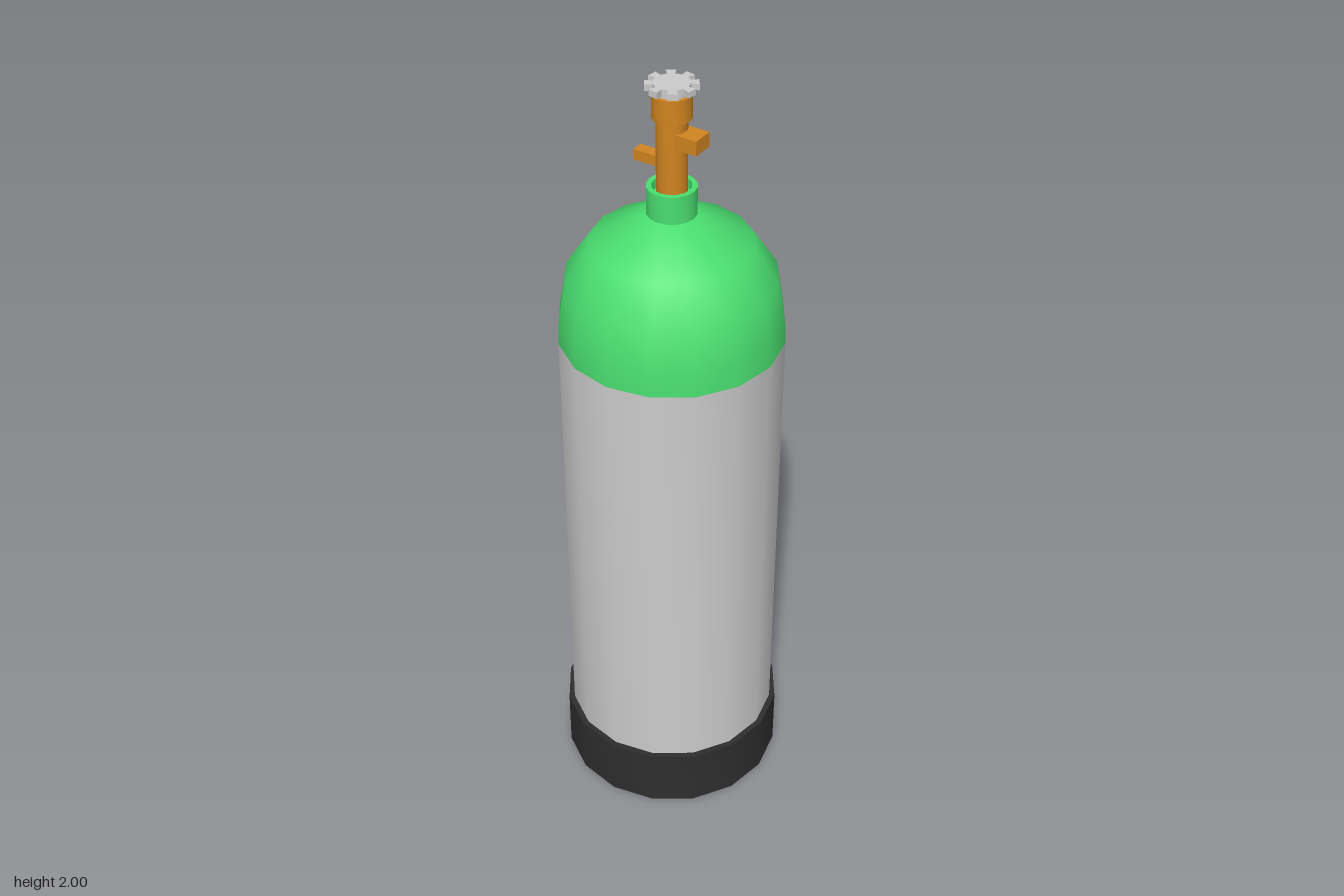
import * as THREE from 'three';
import { toCreasedNormals } from 'three/addons/utils/BufferGeometryUtils.js';

const steel = new THREE.MeshStandardMaterial({ color: 0xcccccc });
const green = new THREE.MeshStandardMaterial({ color: 0x4ade70 });
const rubber = new THREE.MeshStandardMaterial({ color: 0x2e2e2e });
const brass = new THREE.MeshStandardMaterial({ color: 0xd08420 });

export function createModel() {
  const group = new THREE.Group();
  const add = (name, geometry, material) => {
    const mesh = new THREE.Mesh(geometry, material);
    mesh.name = name;
    group.add(mesh);
    return mesh;
  };
  // Turned part from [radius, height] pairs, listed bottom to top on the outside
  const turned = (name, profile, material, sides = 16) => {
    const points = profile.map(([r, y]) => new THREE.Vector2(r, y));
    return add(name, toCreasedNormals(new THREE.LatheGeometry(points, sides), 0.75), material);
  };
  const box = (name, [w, h, d], [x, y, z], material) =>
    add(name, new THREE.BoxGeometry(w, h, d), material).position.set(x, y, z);

  // Tank: straight wall with a flat base, and a coloured shoulder
  turned('tankBody', [[0, 0.03], [0.275, 0.03], [0.275, 1.345]], steel);
  turned('tankShoulder', [
    [0.275, 1.345], [0.273, 1.4], [0.255, 1.51], [0.195, 1.6], [0.055, 1.678], [0, 1.678],
  ], green);

  // Rubber boot, open underneath
  turned('boot', [
    [0.235, 0.03], [0.235, 0], [0.29, 0], [0.29, 0.165], [0.274, 0.165],
  ], rubber);

  // Neck ring with a recess around the valve stem
  turned('neckRing', [
    [0.06, 1.66], [0.06, 1.745], [0.047, 1.745], [0.047, 1.72], [0, 1.72],
  ], green);

  // Valve stem and its wider cap
  turned('valveStem', [[0.037, 1.7], [0.037, 1.92]], brass);
  turned('valveCap', [[0, 1.917], [0.047, 1.917], [0.047, 1.975], [0, 1.975]], brass);
  turned('wheelSpindle', [[0.038, 1.97], [0.038, 1.99]], steel);

  // Side outlets
  box('leftOutlet', [0.062, 0.036, 0.055], [0.051, 1.872, 0], brass);
  box('rightOutlet', [0.07, 0.026, 0.03], [-0.06, 1.802, 0], brass);

  // Notched handwheel with eight teeth
  const wheel = new THREE.Shape();
  const teeth = 8;
  for (let i = 0; i < teeth; i++) {
    const middle = THREE.MathUtils.degToRad(35 + i * 45);
    [[-0.2, 0.043], [-0.2, 0.062], [0.2, 0.062], [0.2, 0.043]].forEach(([offset, r], k) => {
      const x = r * Math.cos(middle + offset), y = r * Math.sin(middle + offset);
      if (i === 0 && k === 0) wheel.moveTo(x, y);
      else wheel.lineTo(x, y);
    });
  }
  wheel.closePath();
  const wheelGeometry = new THREE.ExtrudeGeometry(wheel, { depth: 0.015, bevelEnabled: false });
  wheelGeometry.rotateX(-Math.PI / 2);
  add('handwheel', wheelGeometry, steel).position.y = 1.985;

  return group;
}
